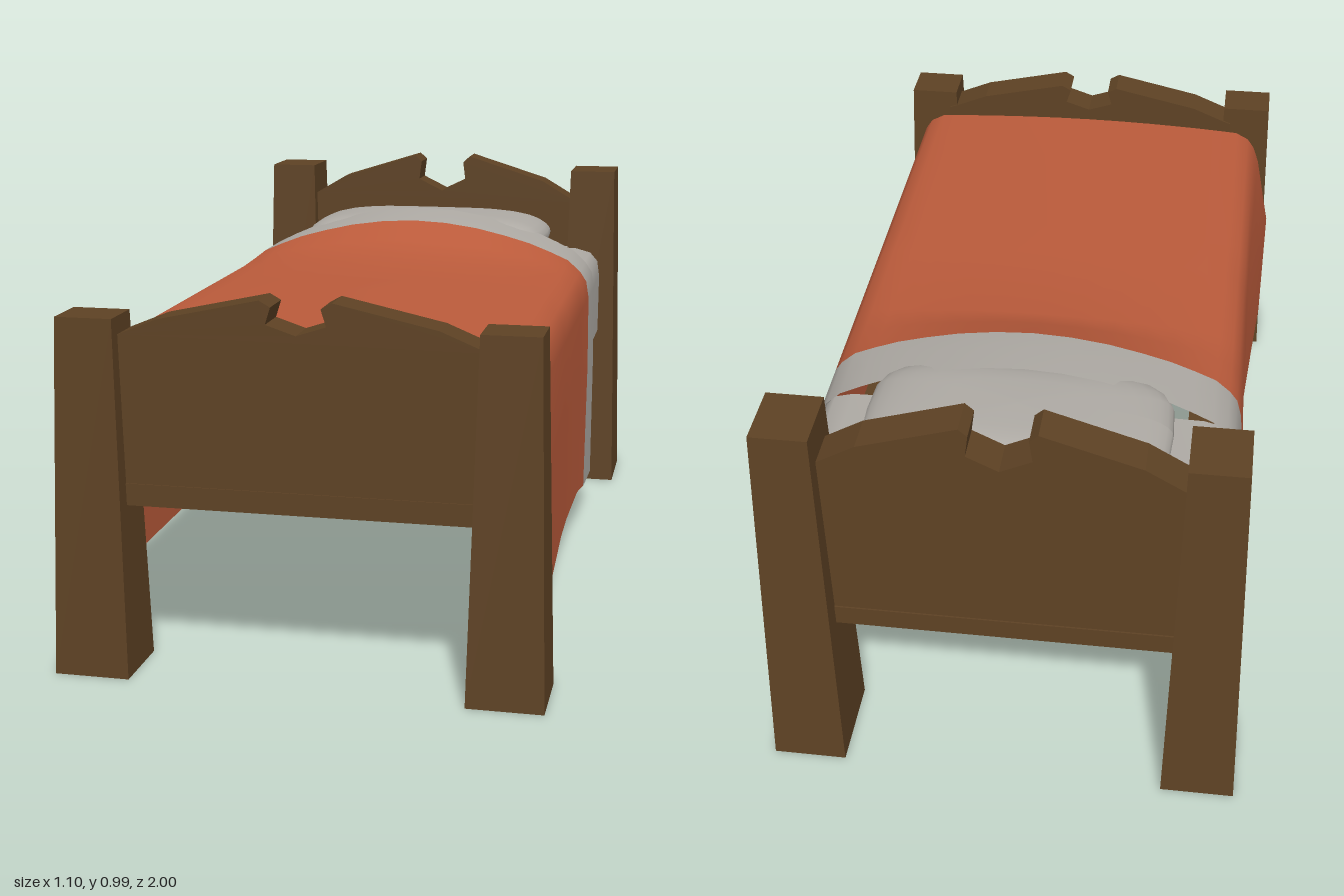
import * as THREE from 'three';

const mat = (name, color, side = THREE.FrontSide) => {
  const m = new THREE.MeshStandardMaterial({ color, side });
  m.name = name;
  return m;
};

// Surface through rows of points; each row runs from -x to +x, rows run towards -z
function loft(rows) {
  const n = rows[0].length, index = [];
  for (let i = 0; i < rows.length - 1; i++)
    for (let j = 0; j < n - 1; j++) {
      const a = i * n + j, c = a + n;
      index.push(a, a + 1, c, a + 1, c + 1, c);
    }
  const g = new THREE.BufferGeometry();
  g.setAttribute('position', new THREE.Float32BufferAttribute(rows.flat(2), 3));
  g.setIndex(index);
  g.computeVertexNormals();
  return g;
}

// Square post tapering from a bottom rectangle to a top rectangle, each [x0, x1, z0, z1]
function postGeometry(bottom, top, height) {
  const g = new THREE.BoxGeometry(1, 1, 1), p = g.attributes.position;
  for (let i = 0; i < p.count; i++) {
    const r = p.getY(i) > 0 ? top : bottom;
    p.setXYZ(i, p.getX(i) > 0 ? r[1] : r[0], p.getY(i) > 0 ? height : 0, p.getZ(i) > 0 ? r[3] : r[2]);
  }
  g.computeVertexNormals();
  return g;
}

// Board with a stepped crest and a centre notch, mirrored from its right half
function boardGeometry(half, bottom, depth) {
  const shape = new THREE.Shape();
  shape.moveTo(-half[0][0], bottom);
  shape.lineTo(half[0][0], bottom);
  half.forEach(([x, y]) => shape.lineTo(x, y));
  half.slice(0, -1).reverse().forEach(([x, y]) => shape.lineTo(-x, y));
  return new THREE.ExtrudeGeometry(shape, { depth, bevelEnabled: false });
}

// One cross-section of the draped cover: crown height, hem height, hem half-widths
function drape({ z, crown, hem, left, right, hemZ = z }) {
  const s = 0.738, half = [];
  const add = (x, y, t) => half.push([x, y, z + (hemZ - z) * t]);
  [[0, 1], [0.09, 0.96], [0.18, 0.85], [0.26, 0.69], [0.33, 0.52], [0.39, 0.32], [0.44, 0.13]]
    .forEach(([x, f]) => add(x, s + (crown - s) * f, 0));
  add(0.475, 0.722, 0);
  add(0.493, 0.695, 0.04);
  add(0.5, 0.65, 0.1);
  add(0.5, 0.45, 0.4);
  add(0.5, hem, 1);
  const flare = (y, w) => (w - 0.5) * Math.min(1, Math.max(0, (0.7 - y) / 0.25));
  const side = (sign, w) => half.map(([x, y, pz]) =>
    [sign * (x >= 0.49 ? x + flare(y, w) : x), y, pz]);
  return [...side(-1, right).reverse(), ...side(1, left).slice(1)];
}

export function createModel() {
  const wood = mat('wood', 0x5e4224);
  const red = mat('blanketRed', 0xbb5b3b, THREE.DoubleSide);
  const linen = mat('linenGrey', 0xaeaaa4, THREE.DoubleSide);
  const bed = new THREE.Group();
  bed.name = 'bed';
  const add = (name, geometry, material) => {
    const m = new THREE.Mesh(geometry, material);
    m.name = name;
    bed.add(m);
    return m;
  };

  // Corner posts, mirrored left and right
  for (const s of [-1, 1]) {
    const rect = (x0, x1, z0, z1) => s > 0 ? [x0, x1, z0, z1] : [-x1, -x0, z0, z1];
    const name = s > 0 ? 'left' : 'right';
    add(name + 'FootPost', postGeometry(rect(0.38, 0.552, 0.83, 1), rect(0.4, 0.53, 0.86, 0.975), 0.815), wood);
    add(name + 'HeadPost', postGeometry(rect(0.38, 0.552, -1, -0.78), rect(0.4, 0.53, -0.965, -0.81), 0.955), wood);
  }

  // Footboard and headboard
  add('footboard', boardGeometry([[0.42, 0.768], [0.4, 0.775], [0.31, 0.812], [0.08, 0.862],
    [0.055, 0.848], [0.067, 0.81], [0, 0.788]], 0.42, 0.09), wood).position.z = 0.853;
  add('headboard', boardGeometry([[0.42, 0.855], [0.4, 0.867], [0.31, 0.92], [0.085, 0.99],
    [0.065, 0.972], [0.072, 0.918], [0, 0.883]], 0.42, 0.09), wood).position.z = -0.927;

  // Open base frame
  const rail = (name, w, h, d, x, z) =>
    add(name, new THREE.BoxGeometry(w, h, d), wood).position.set(x, 0.39 + h / 2, z);
  for (const s of [-1, 1]) rail(s > 0 ? 'leftRail' : 'rightRail', 0.1, 0.088, 1.74, s * 0.425, 0.01);
  rail('footRail', 0.8, 0.05, 0.11, 0, 0.891);
  rail('headRail', 0.8, 0.05, 0.11, 0, -0.876);

  // Mattress showing at the head end
  const mHalf = [[0, 0.725], [0.25, 0.725], [0.42, 0.722], [0.465, 0.71], [0.487, 0.685], [0.494, 0.64], [0.494, 0.472]];
  const mRow = z => [...mHalf.slice(1).reverse().map(([x, y]) => [-x, y, z]), ...mHalf.map(([x, y]) => [x, y, z])];
  add('mattress', loft([mRow(-0.5), mRow(-0.66), mRow(-0.835)]), linen);

  // Pillow: a sphere squared off in plan and flattened
  const pillow = new THREE.SphereGeometry(1, 28, 16), p = pillow.attributes.position;
  const square = v => Math.sign(v) * Math.pow(Math.abs(v), 0.5);
  for (let i = 0; i < p.count; i++) {
    const x = square(p.getX(i)), y = p.getY(i), z = square(p.getZ(i));
    p.setXYZ(i, x * 0.355, 0.782 + y * 0.066, -0.64 + z * 0.19);
  }
  pillow.computeVertexNormals();
  add('pillow', pillow, linen);

  // Blanket, rising over the pillow, with the sheet turned back at its head end
  const seam = { z: -0.38, hemZ: -0.32, crown: 0.853, hem: 0.115, left: 0.505, right: 0.525 };
  add('blanket', loft([
    { z: 0.851, crown: 0.757, hem: 0.11, left: 0.52, right: 0.55 },
    { z: 0.63, crown: 0.759, hem: 0.12, left: 0.512, right: 0.535 },
    { z: 0.24, crown: 0.764, hem: 0.147, left: 0.502, right: 0.512 },
    { z: 0.1, crown: 0.766, hem: 0.15, left: 0.501, right: 0.511 },
    { z: -0.18, crown: 0.768, hem: 0.138, left: 0.501, right: 0.515 },
    { z: -0.28, hemZ: -0.25, crown: 0.81, hem: 0.127, left: 0.503, right: 0.52 },
    seam,
  ].map(drape)), red);
  add('foldedSheet', loft([
    seam,
    { z: -0.45, hemZ: -0.43, crown: 0.862, hem: 0.105, left: 0.505, right: 0.522 },
    { z: -0.543, crown: 0.868, hem: 0.095, left: 0.504, right: 0.52 },
  ].map(drape)), linen);

  return bed;
}
